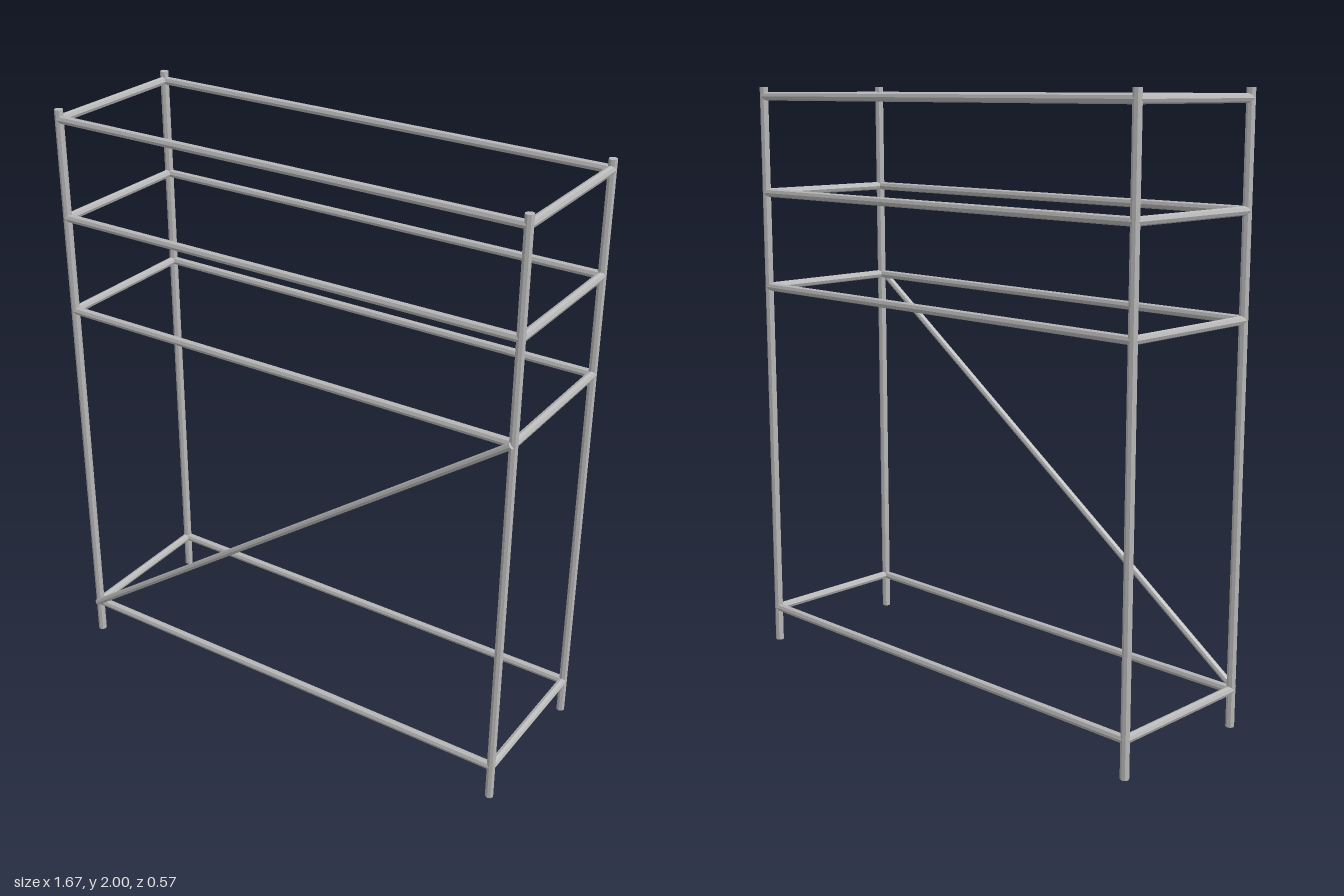
import * as THREE from 'three';

const X = 0.823;        // post axis, left and right
const Z_FRONT = 0.257;  // front post axis
const Z_BACK = -0.269;  // back post axis
const R = 0.0143;       // tube radius
const R_BRACE = 0.0115; // thinner brace tube
const LEVELS = [0.124, 1.31, 1.639, 1.968];

const steel = new THREE.MeshStandardMaterial({ color: 0xb8b8b8, flatShading: true });
steel.name = 'light grey steel';

// Straight eight-sided tube between two points
function tube(name, a, b, radius = R) {
  const start = new THREE.Vector3(...a);
  const end = new THREE.Vector3(...b);
  const dir = end.clone().sub(start);
  const mesh = new THREE.Mesh(new THREE.CylinderGeometry(radius, radius, dir.length(), 8), steel);
  mesh.name = name;
  mesh.position.copy(start).add(end).multiplyScalar(0.5);
  mesh.quaternion.setFromUnitVectors(new THREE.Vector3(0, 1, 0), dir.normalize());
  return mesh;
}

export function createModel() {
  const model = new THREE.Group();
  model.name = 'scaffoldFrame';

  // Four upright posts
  for (const x of [-X, X]) {
    for (const z of [Z_FRONT, Z_BACK]) model.add(tube('post', [x, 0, z], [x, 2, z]));
  }

  // A ring of rails at each level
  for (const y of LEVELS) {
    for (const z of [Z_FRONT, Z_BACK]) model.add(tube('longRail', [-X, y, z], [X, y, z]));
    for (const x of [-X, X]) model.add(tube('endRail', [x, y, Z_BACK], [x, y, Z_FRONT]));
  }

  // Diagonal brace, clamped to the outer face of the front posts
  const zBrace = Z_FRONT + R;
  model.add(tube('diagonalBrace', [-X, LEVELS[0], zBrace], [X, LEVELS[1], zBrace], R_BRACE));

  return model;
}
